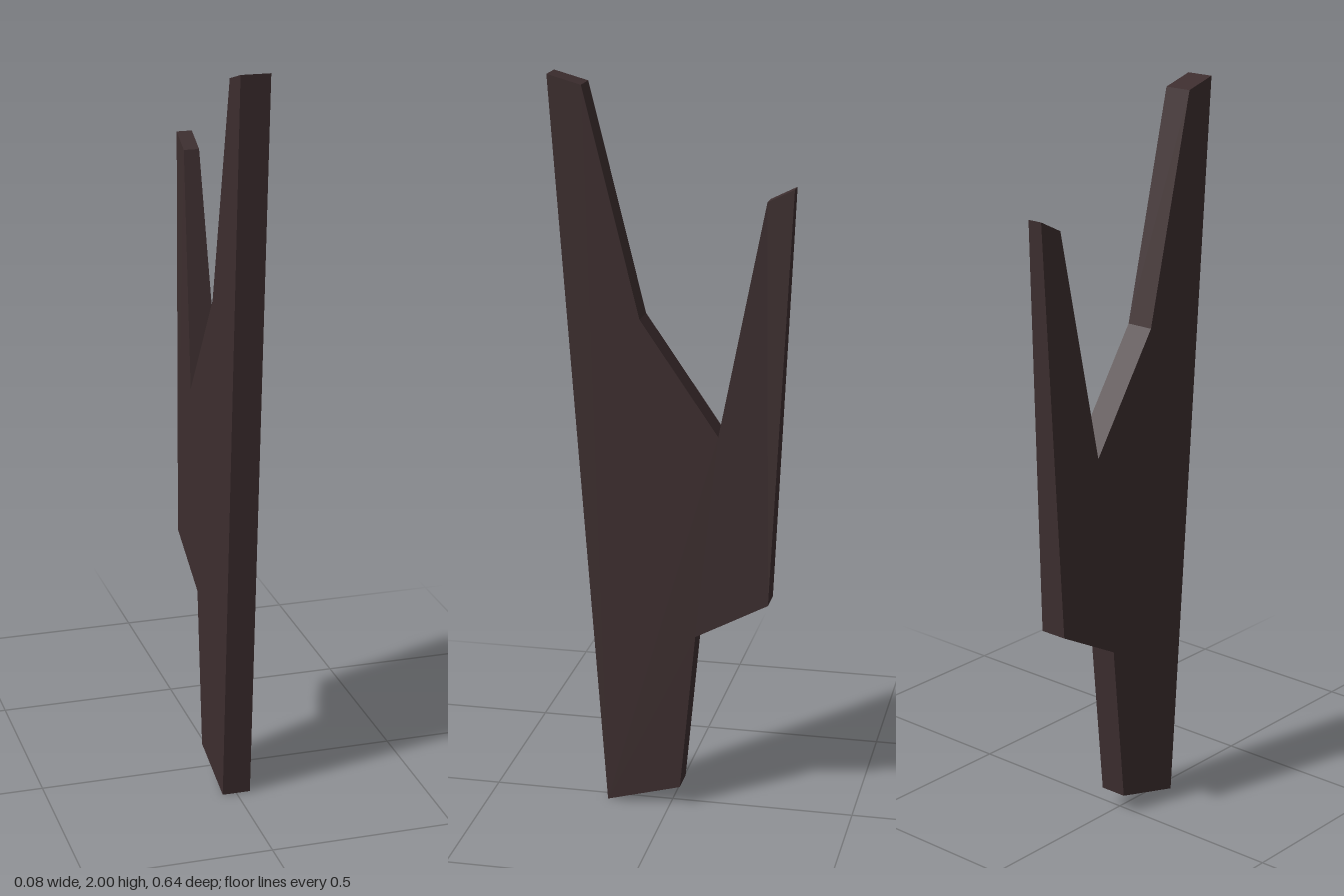
import * as THREE from 'three';

// Side outline as [z, y, half thickness], counter-clockwise seen from +x
const OUTLINE = [
  [0.175, 0, 0.0385],
  [-0.028, 0.055, 0.0385],
  [-0.07, 0.5, 0.0385],
  [-0.267, 0.605, 0.0385],
  [-0.32, 1.725, 0.021], // rear prong tip, thinner
  [-0.25, 1.69, 0.021],
  [-0.13, 1.065, 0.0385],
  [0.08, 1.37, 0.0385],
  [0.23, 1.975, 0.0385],
  [0.32, 2, 0.0385],
];
const BODY = [0, 1, 2, 3, 6, 7, 8, 9];
const PRONG = [3, 4, 5, 6];

function buildPlate() {
  const positions = [];
  const corner = (i, side) => [side * OUTLINE[i][2], OUTLINE[i][1], OUTLINE[i][0]];
  const tri = (a, b, c) => positions.push(...a, ...b, ...c);

  // Side faces: flat body panel and tapered prong panel, mirrored
  for (const panel of [BODY, PRONG]) {
    const flat = panel.map((i) => new THREE.Vector2(-OUTLINE[i][0], OUTLINE[i][1]));
    for (const t of THREE.ShapeUtils.triangulateShape(flat, [])) {
      const ccw = THREE.ShapeUtils.area(t.map((k) => flat[k])) > 0;
      const [a, b, c] = (ccw ? t : [t[0], t[2], t[1]]).map((k) => panel[k]);
      tri(corner(a, 1), corner(b, 1), corner(c, 1));
      tri(corner(a, -1), corner(c, -1), corner(b, -1));
    }
  }

  // Rim around the outline
  for (let i = 0; i < OUTLINE.length; i++) {
    const j = (i + 1) % OUTLINE.length;
    tri(corner(i, 1), corner(i, -1), corner(j, -1));
    tri(corner(i, 1), corner(j, -1), corner(j, 1));
  }

  const geometry = new THREE.BufferGeometry();
  geometry.setAttribute('position', new THREE.Float32BufferAttribute(positions, 3));
  geometry.computeVertexNormals();
  return geometry;
}

export function createModel() {
  const group = new THREE.Group();
  group.name = 'forkedPlate';
  const darkBrown = new THREE.MeshStandardMaterial({ color: 0x3d2e2f, flatShading: true });
  darkBrown.name = 'darkBrown';
  const plate = new THREE.Mesh(buildPlate(), darkBrown);
  plate.name = 'forkedBlade';
  group.add(plate);
  return group;
}
